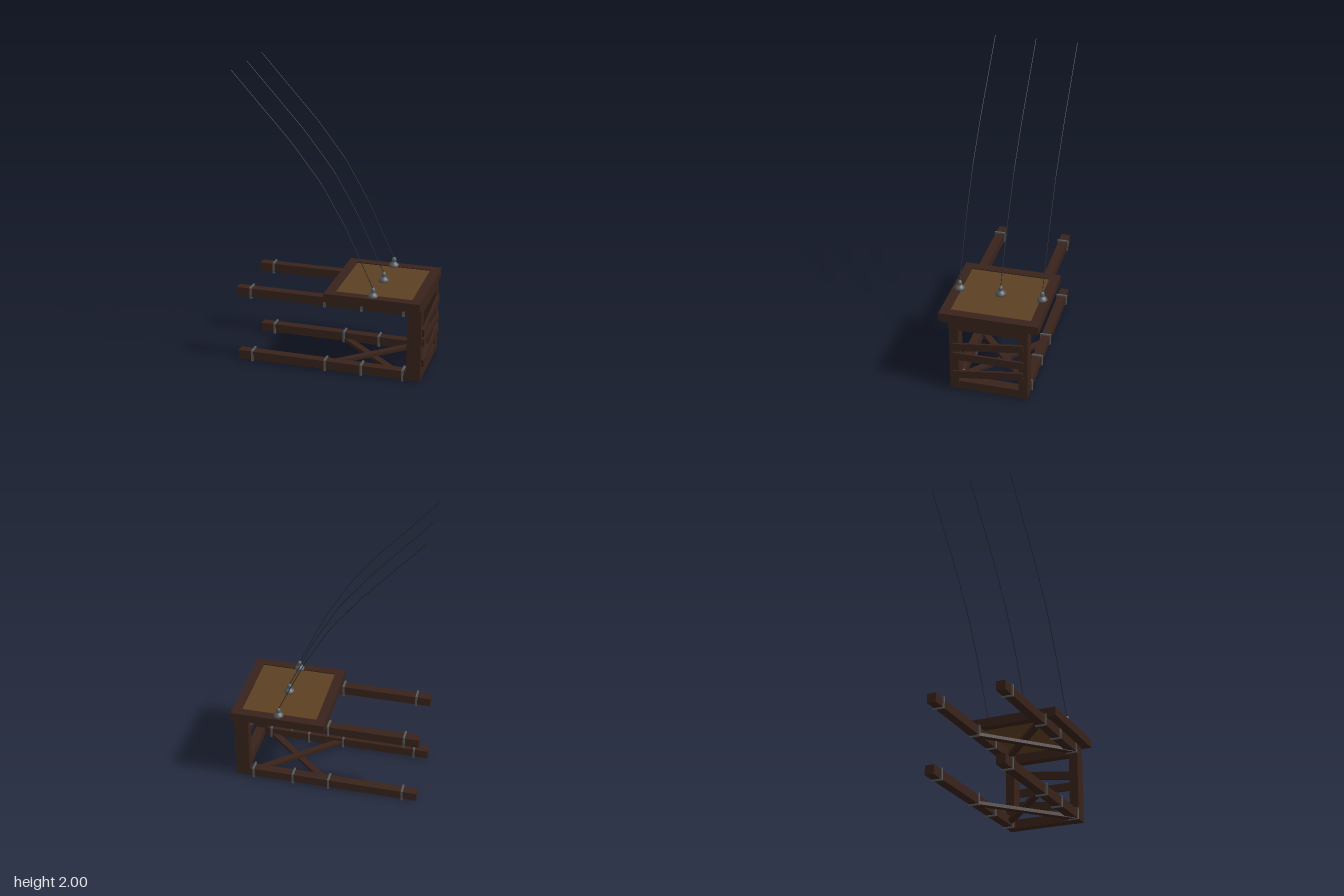
import * as THREE from 'three';

const wood = new THREE.MeshStandardMaterial({ color: 0x38231a });
const board = new THREE.MeshStandardMaterial({ color: 0x5c4022 });
const metal = new THREE.MeshStandardMaterial({ color: 0x55595c });
const cable = new THREE.MeshStandardMaterial({ color: 0x22262a });

export function createModel() {
  const model = new THREE.Group();

  const add = (name, geometry, material, x = 0, y = 0, z = 0) => {
    const mesh = new THREE.Mesh(geometry, material);
    mesh.name = name;
    mesh.position.set(x, y, z);
    model.add(mesh);
    return mesh;
  };
  // box given by its extents on each axis
  const box = (name, material, [x0, x1], [y0, y1], [z0, z1]) =>
    add(name, new THREE.BoxGeometry(x1 - x0, y1 - y0, z1 - z0), material,
      (x0 + x1) / 2, (y0 + y1) / 2, (z0 + z1) / 2);

  // long beams with metal straps, and the end posts
  for (const side of [-1, 1]) {
    const z = side * 0.23;
    for (const y of [0.04, 0.5]) {
      box('beam', wood, [-0.637, 0.53], [y - 0.03, y + 0.03], [z - 0.03, z + 0.03]);
      for (const x of [-0.54, -0.03, 0.22, 0.5]) {
        add('strap', new THREE.BoxGeometry(0.013, 0.078, 0.076), metal, x, y, z);
      }
    }
    box('post', wood, [0.525, 0.618], [0.01, 0.53], [z - 0.03, z + 0.03]);
  }

  // crossed braces and end rails at both levels
  for (const y of [0.04, 0.5]) {
    box('endRail', wood, [0.55, 0.615], [y - 0.03, y + 0.03], [-0.21, 0.21]);
    for (const side of [-1, 1]) {
      const brace = add('brace', new THREE.BoxGeometry(Math.hypot(0.53, 0.46), 0.022, 0.045),
        wood, 0.235, y - 0.012 + side * 0.011, 0);
      brace.rotation.y = side * Math.atan2(0.46, 0.53);
    }
  }

  // slats across the end
  for (const [y, tilt] of [[0.375, 0.135], [0.275, 0], [0.16, 0.135]]) {
    const slat = add('slat', new THREE.BoxGeometry(0.016, 0.053, 0.465), wood, 0.624, y, 0);
    slat.rotation.x = tilt;
  }

  // framed platform top
  const rim = new THREE.Shape([[-0.017, -0.327], [0.62, -0.327], [0.62, 0.327], [-0.017, 0.327]]
    .map(([x, y]) => new THREE.Vector2(x, y)));
  rim.holes.push(new THREE.Path([[0.046, -0.266], [0.046, 0.266], [0.558, 0.266], [0.558, -0.266]]
    .map(([x, y]) => new THREE.Vector2(x, y))));
  const frame = add('topFrame', new THREE.ExtrudeGeometry(rim, { depth: 0.058, bevelEnabled: false }),
    wood, 0, 0.526, 0);
  frame.rotation.x = -Math.PI / 2;
  box('topBoard', board, [0.04, 0.564], [0.535, 0.578], [-0.27, 0.27]);

  // insulators with swept cables
  const profile = [[0, 0], [0.034, 0], [0.034, 0.012], [0.027, 0.023], [0.016, 0.032],
    [0.012, 0.036], [0.016, 0.042], [0.015, 0.055], [0.009, 0.066], [0, 0.068]]
    .map(([r, y]) => new THREE.Vector2(r, y));
  const sweep = [[0.3, 0.64], [0.12, 1.03], [-0.04, 1.31], [-0.24, 1.57], [-0.625, 2.0]]
    .map(([x, y]) => new THREE.Vector3(x, y, 0));
  const path = new THREE.CurvePath();
  for (let i = 1; i < sweep.length; i++) path.add(new THREE.LineCurve3(sweep[i - 1], sweep[i]));
  for (const z of [-0.278, 0, 0.278]) {
    add('insulator', new THREE.LatheGeometry(profile, 16), metal, 0.302, 0.577, z);
    add('cable', new THREE.TubeGeometry(path, 32, 0.0025, 6), cable, 0, 0, z);
  }

  return model;
}
